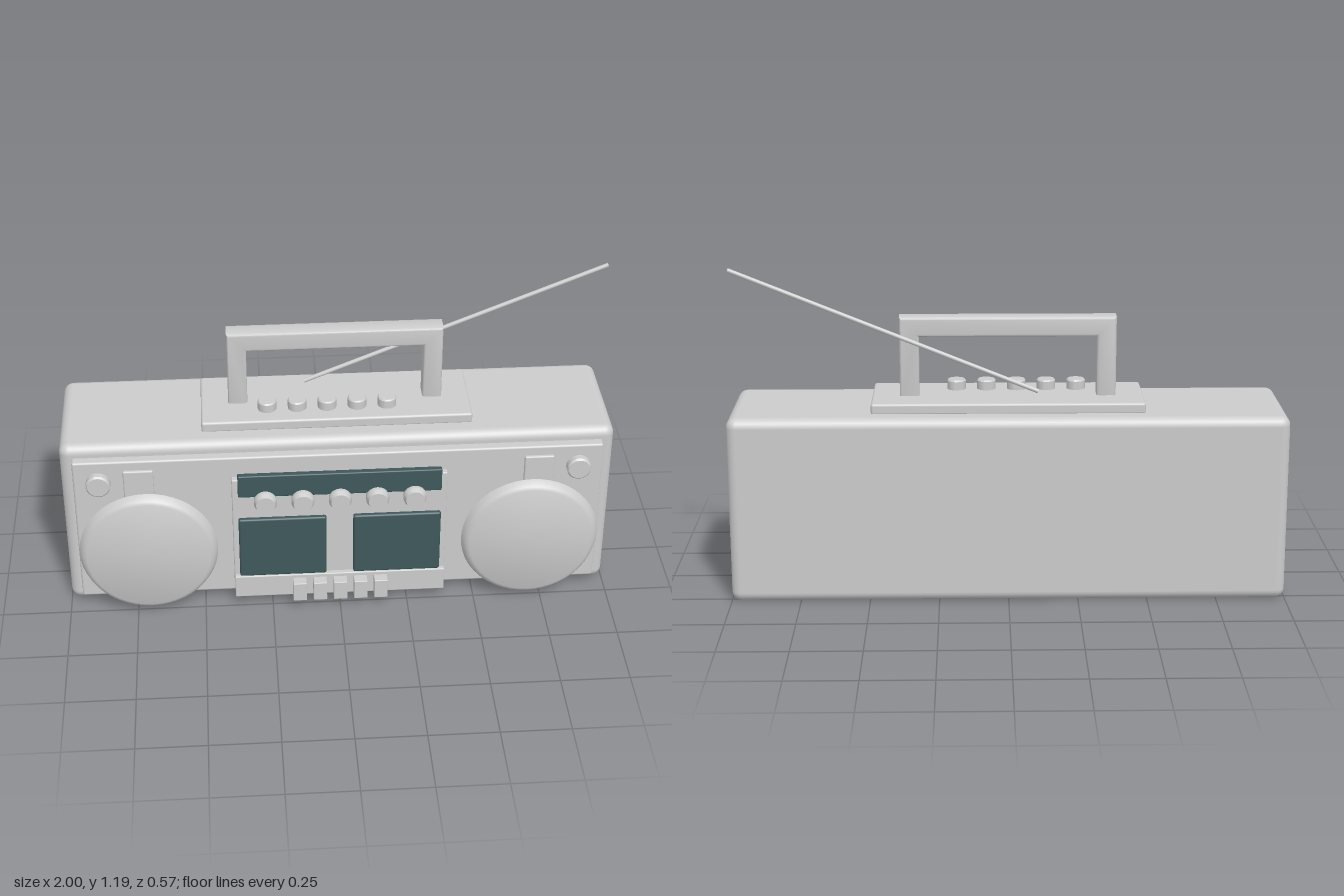
import * as THREE from 'three';
import { toCreasedNormals } from 'three/addons/utils/BufferGeometryUtils.js';
import { RoundedBoxGeometry } from 'three/addons/geometries/RoundedBoxGeometry.js';

export function createModel() {
  const root = new THREE.Group();
  const grey = new THREE.MeshStandardMaterial({ color: 0xcccccc });
  grey.name = 'casingGrey';
  const teal = new THREE.MeshStandardMaterial({ color: 0x3e585c });
  teal.name = 'darkGlass';

  function add(name, geometry, material = grey, x = 0, y = 0, z = 0) {
    const mesh = new THREE.Mesh(geometry, material);
    mesh.name = name;
    mesh.position.set(x, y, z);
    root.add(mesh);
    return mesh;
  }

  // Softened box given by its extents on each axis
  function box(name, [x0, x1], [y0, y1], [z0, z1], radius, material = grey) {
    const g = new RoundedBoxGeometry(x1 - x0, y1 - y0, z1 - z0, 3, radius);
    return add(name, g, material, (x0 + x1) / 2, (y0 + y1) / 2, (z0 + z1) / 2);
  }

  // Turned part from [radius, height] pairs, with its axis along y
  function turned(profile, sides) {
    const g = new THREE.LatheGeometry(profile.map(([r, h]) => new THREE.Vector2(r, h)), sides);
    return toCreasedNormals(g, 0.5);
  }
  const facingFront = (profile, sides) => turned(profile, sides).rotateX(Math.PI / 2);

  // Casing and front panel
  box('body', [-1, 1], [0.003, 0.685], [-0.287, 0.174], 0.035);
  box('frontPanel', [-0.955, 0.955], [0.045, 0.64], [0.16, 0.208], 0.008);

  // Speakers with the corner knob and tab above each
  const speaker = facingFront([
    [0, 0.206], [0.215, 0.206], [0.235, 0.222], [0.252, 0.243],
    [0.245, 0.259], [0.236, 0.27], [0.224, 0.276], [0, 0.276],
  ], 48);
  const cornerKnob = facingFront([
    [0, 0.224], [0.038, 0.224], [0.044, 0.23], [0.044, 0.252], [0.038, 0.258], [0, 0.258],
  ], 32);
  for (const side of [-1, 1]) {
    add('speaker', speaker, grey, side * 0.698, 0.271, 0);
    add('cornerKnob', cornerKnob, grey, side * 0.863, 0.568, 0);
    box('speakerTab', [side * 0.72 - 0.054, side * 0.72 + 0.054], [0.5, 0.618], [0.224, 0.24], 0.006);
  }

  // Centre console with display, two tape doors and lower ledge
  box('centrePanel', [-0.39, 0.39], [0.096, 0.558], [0.2, 0.232], 0.005);
  box('display', [-0.368, 0.368], [0.492, 0.584], [0.224, 0.248], 0.005, teal);
  for (const side of [-1, 1]) {
    box('tapeDoor', [side * 0.209 - 0.16, side * 0.209 + 0.16], [0.135, 0.392], [0.224, 0.248], 0.008, teal);
  }
  box('lowerLedge', [-0.388, 0.388], [0.042, 0.135], [0.2, 0.25], 0.004);

  // Five dials and five tape keys
  const dial = facingFront([
    [0, 0.23], [0.04, 0.23], [0.042, 0.262], [0.034, 0.28], [0, 0.28],
  ], 32);
  for (let i = -2; i <= 2; i++) {
    add('dial', dial, grey, i * 0.135, 0.476, 0);
    box('tapeKey', [i * 0.075 - 0.025, i * 0.075 + 0.025], [0.042, 0.121], [0.24, 0.288], 0.003);
  }

  // Top plate and its row of buttons
  box('topPlate', [-0.49, 0.49], [0.68, 0.721], [-0.212, 0.1], 0.009);
  const topButton = turned([[0, 0.715], [0.034, 0.715], [0.034, 0.752], [0.03, 0.757], [0, 0.757]], 32);
  for (let i = -2; i <= 2; i++) add('topButton', topButton, grey, -0.032 + i * 0.109, 0, 0.013);

  // Carrying handle, an upside-down U
  const b = 0.01;
  const outline = [
    [-0.39 + b, 0.715], [-0.32 - b, 0.715], [-0.32 - b, 0.938 + b], [0.32 + b, 0.938 + b],
    [0.32 + b, 0.715], [0.39 - b, 0.715], [0.39 - b, 1.01 - b], [-0.39 + b, 1.01 - b],
  ].map(([x, y]) => new THREE.Vector2(x, y));
  const handle = new THREE.ExtrudeGeometry(new THREE.Shape(outline), {
    depth: 0.074 - 2 * b, bevelEnabled: true, bevelSize: b, bevelThickness: b, bevelSegments: 3,
  });
  add('handle', toCreasedNormals(handle, 0.6), grey, 0, 0, -0.098 + b);

  // Slanted aerial
  const from = new THREE.Vector3(-0.108, 0.745, -0.127);
  const to = new THREE.Vector3(0.99, 1.19, -0.127);
  const along = to.clone().sub(from);
  const aerial = add('aerial', new THREE.CylinderGeometry(0.008, 0.008, along.length(), 16));
  aerial.position.copy(from).add(to).multiplyScalar(0.5);
  aerial.quaternion.setFromUnitVectors(new THREE.Vector3(0, 1, 0), along.normalize());

  return root;
}
